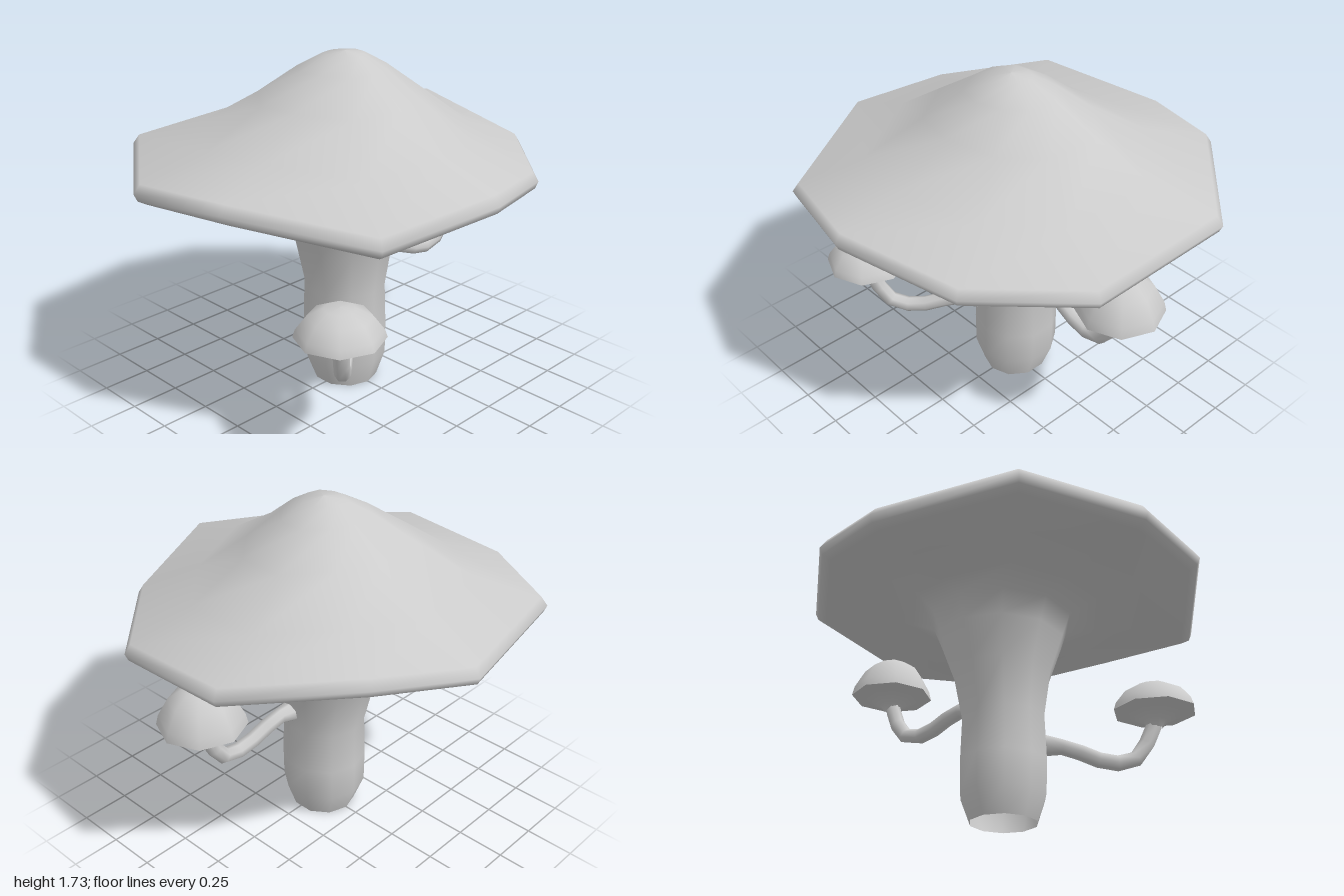
import * as THREE from 'three';

const material = new THREE.MeshStandardMaterial({ color: 0xcccccc });
const openMaterial = new THREE.MeshStandardMaterial({ color: 0xcccccc, side: THREE.DoubleSide });
const V = (x, y, z) => new THREE.Vector3(x, y, z);

function addMesh(parent, name, geometry, mat = material) {
  const mesh = new THREE.Mesh(geometry, mat);
  mesh.name = name;
  parent.add(mesh);
  return mesh;
}

// Smooth skin over closed rings of points, listed from top to bottom
function loft(rings) {
  const n = rings[0].length;
  const index = [];
  for (let i = 0; i < rings.length - 1; i++) {
    for (let j = 0; j < n; j++) {
      const a = i * n + j, b = i * n + (j + 1) % n;
      index.push(a, b, b + n, a, b + n, a + n);
    }
  }
  const geometry = new THREE.BufferGeometry().setFromPoints(rings.flat());
  geometry.setIndex(index);
  geometry.computeVertexNormals();
  return geometry;
}

// Corners of the wavy cap rim: x, height of the upper lip, z
const rim = [
  [0.06, 1.235, -0.99], [0.55, 1.32, -0.80], [1.0, 1.28, -0.34], [0.925, 1.18, 0.35],
  [0.50, 1.175, 0.78], [-0.07, 1.26, 0.985], [-0.64, 1.185, 0.84], [-0.98, 1.26, 0.23],
  [-1.00, 1.205, -0.36], [-0.65, 1.255, -0.86],
];

// Cap profile: fraction of the rim width and depth, height, share of the rim waviness
const capProfile = [
  [0.001, 0.001, 1.725, 0], [0.10, 0.10, 1.71, 0], [0.22, 0.21, 1.645, 0.05],
  [0.42, 0.38, 1.51, 0.2], [0.67, 0.66, 1.335, 0.5],
  [0.97, 0.97, 1.235, 1], [1.0, 1.0, 1.19, 1], [0.985, 0.985, 1.155, 1], [0.94, 0.94, 1.13, 1],
  [0.70, 0.70, 1.12, 0.85], [0.49, 0.49, 1.092, 0.35],
];

// Stem profile: height, half width, half depth, z offset
const stemProfile = [
  [1.04, 0.355, 0.36, -0.04],
  [0.93, 0.31, 0.325, -0.035], [0.75, 0.245, 0.255, -0.03], [0.52, 0.205, 0.21, -0.02],
  [0.30, 0.215, 0.215, -0.02], [0.13, 0.21, 0.215, -0.02], [0, 0.163, 0.168, -0.015],
];

const capRing = ([fx, fz, y, wave]) =>
  rim.map(([x, lip, z]) => V(x * fx - 0.015 * (1 - fx), y + (lip - 1.228) * wave, z * fz));

const stemRing = ([y, rx, rz, dz]) => rim.map((_, j) => {
  const t = j / rim.length * Math.PI * 2;
  return V(rx * Math.sin(t), y, dz - rz * Math.cos(t));
});

// Small side mushroom: bent stalk with a domed eight-sided cap
function sprout(name, path, head, height) {
  const group = new THREE.Group();
  group.name = name;

  const curve = new THREE.CatmullRomCurve3(path.map(p => V(...p)));
  const tube = new THREE.TubeGeometry(curve, 8, 0.04, 7);
  // Flare where the stalk leaves the stem
  const pos = tube.attributes.position;
  const p = V(), start = curve.getPoint(0);
  for (let i = 0; i < 8; i++) {
    p.fromBufferAttribute(pos, i).sub(start).multiplyScalar(1.4).add(start);
    pos.setXYZ(i, p.x, p.y, p.z);
  }
  addMesh(group, 'stalk', tube);
  // Closed stalk root
  const root = addMesh(group, 'stalkRoot', new THREE.CircleGeometry(0.055, 7));
  root.position.copy(start);
  root.lookAt(start.clone().sub(curve.getTangent(0)));

  const dome = [[0.212, 0], [0.2, 0.25], [0.15, 0.7], [0.075, 0.96], [0, 1]];
  const under = [[0.035, -0.085], [0.06, -0.05], [0.13, -0.018], [0.212, 0]];
  const lathe = pts => new THREE.LatheGeometry(pts.map(([r, y]) => new THREE.Vector2(r, y)), 8);
  const parts = [
    addMesh(group, 'sproutCap', lathe(dome.map(([r, y]) => [r, y * height]))),
    addMesh(group, 'sproutUnderside', lathe(under)),
  ];
  for (const part of parts) part.position.set(...head);
  return group;
}

export function createModel() {
  const model = new THREE.Group();
  model.name = 'mushroom';

  // Cap flowing into the stem, open at the foot
  addMesh(model, 'capAndStem',
    loft([...capProfile.map(capRing), ...stemProfile.map(stemRing)]), openMaterial);

  model.add(sprout('leftSprout',
    [[0.19, 0.628, 0.015], [0.31, 0.637, 0.015], [0.45, 0.585, 0.025], [0.54, 0.565, 0.03],
      [0.63, 0.575, 0.03], [0.70, 0.65, 0.03], [0.75, 0.77, 0.035], [0.76, 0.84, 0.035]],
    [0.76, 0.83, 0.035], 0.2));
  model.add(sprout('rightSprout',
    [[-0.13, 0.405, 0.13], [-0.23, 0.395, 0.22], [-0.32, 0.35, 0.31], [-0.40, 0.332, 0.38],
      [-0.47, 0.355, 0.44], [-0.52, 0.45, 0.485], [-0.55, 0.55, 0.51], [-0.555, 0.62, 0.51]],
    [-0.555, 0.607, 0.51], 0.147));

  return model;
}
